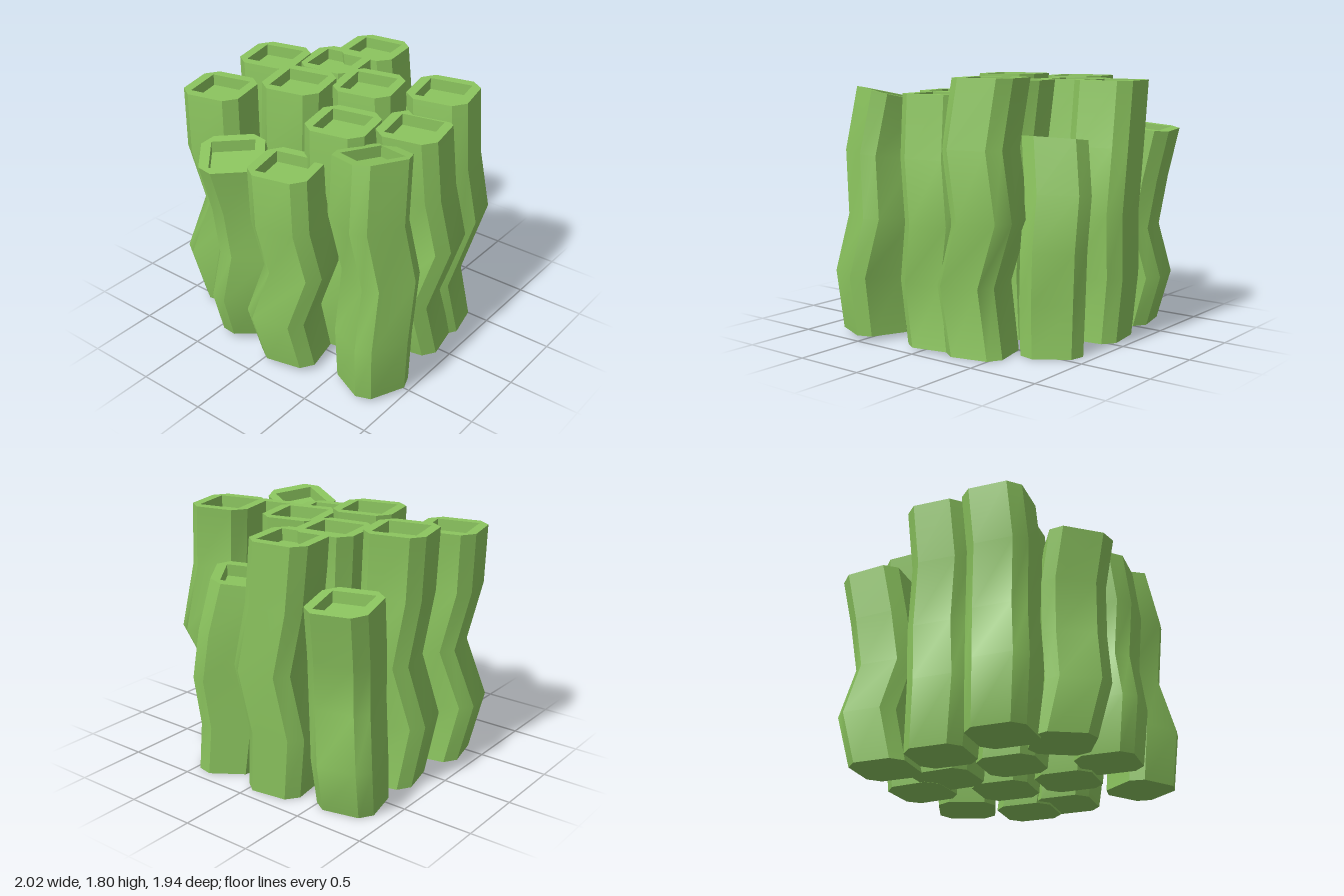
import * as THREE from 'three';

const LEVELS = 4;       // segments along each stalk
const HALF = 0.215;     // half width of a stalk
const CHAMFER = 0.08;   // cut corners
const PIT = 0.148;      // half width of the hollow top
const PIT_DEPTH = 0.08;

// Sideways wander from base to tip, relative to the tip
const WX = [0.05, 0.0, 0.09, 0.04, 0];
const WZ = [0.0, 0.06, -0.03, 0.03, 0];

// Tip position, height, turn in degrees; optional wander and tip slopes
const STALKS = [
  { x: -0.68, z: -0.74, h: 1.43, turn: 13, wx: [0.02, -0.01, 0.06, 0.03, 0], wz: [0.13, 0.05, 0.12, 0.07, 0], sz: 0.1 },
  { x: -0.24, z: -0.73, h: 1.77, turn: 8, wx: [0.1, 0.06, 0.14, 0.05, 0], wz: [0.03, 0.02, -0.02, 0, 0] },
  { x: 0.25, z: -0.61, h: 1.4, turn: 34, wx: [0.12, 0.09, 0.12, 0.06, 0], wz: [-0.07, -0.05, -0.08, -0.07, 0], sx: 0.12 },
  { x: 0.61, z: -0.36, h: 1.8, turn: 13, wx: [0.06, 0.02, 0.09, 0.06, 0], wz: [0.03, 0.14, -0.06, 0.04, 0] },
  { x: 0.65, z: 0.03, h: 1.69, turn: 12, wz: [-0.05, 0.04, -0.09, -0.01, 0] },
  { x: 0.64, z: 0.47, h: 1.67, turn: -24, wx: [0.1, 0.12, 0.09, 0.04, 0], wz: [0.09, 0.12, 0.01, 0.08, 0], sx: 0.16, sz: 0.15 },
  { x: 0.11, z: -0.2, h: 1.77, turn: 13 },
  { x: -0.32, z: -0.38, h: 1.77, turn: 9 },
  { x: -0.7, z: -0.16, h: 1.78, turn: 13 },
  { x: -0.25, z: 0.11, h: 1.8, turn: 13, wx: [0.02, -0.01, 0.03, 0.01, 0] },
  { x: 0.24, z: 0.25, h: 1.69, turn: 12, wx: [0.03, -0.03, 0.04, 0.02, 0] },
  { x: -0.76, z: 0.35, h: 1.7, turn: 13, wx: [0.06, -0.01, 0.11, 0.03, 0] },
  { x: 0.08, z: 0.64, h: 1.48, turn: 13 },
  { x: -0.33, z: 0.71, h: 1.46, turn: 40, wx: [-0.02, 0.0, 0.05, 0.02, 0], wz: [-0.14, -0.05, -0.1, -0.08, 0], sx: -0.05, sz: -0.13 },
];

// Cross-sections, counter-clockwise from above as [right, back]
const I = HALF - CHAMFER;
const OCTAGON = [[HALF, -I], [HALF, I], [I, HALF], [-I, HALF], [-HALF, I], [-HALF, -I], [-I, -HALF], [I, -HALF]];
const SQUARE = [[PIT, -PIT], [PIT, PIT], [-PIT, PIT], [-PIT, -PIT]];

function stalkGeometry({ x, z, h, turn, wx = WX, wz = WZ, sx = 0, sz = 0 }) {
  const pos = [], index = [];
  const c = Math.cos(turn * Math.PI / 180), s = Math.sin(turn * Math.PI / 180);
  const base = Math.max(0, 0.015 + 0.035 * z);

  // Place a cross-section point at a level of the wandering path
  const place = ([u, w], k, drop = 0) => {
    const px = u * c - w * s, pz = -(u * s + w * c);
    const lean = k === LEVELS ? 1 : k === LEVELS - 1 ? 0.5 : 0;
    const size = k === 0 ? 0.95 : 1;
    const y = base + (h - base) * k / LEVELS + lean * (sx * px + sz * pz) - drop;
    return [x + wx[k] + px * size, y, z + wz[k] + pz * size];
  };
  // Flat polygon with its own vertices
  const face = (...pts) => {
    const n = pos.length / 3;
    pts.forEach(p => pos.push(...p));
    for (let i = 1; i < pts.length - 1; i++) index.push(n, n + i, n + i + 1);
  };

  // Sides: one strip per face, smooth along the length
  for (let i = 0; i < 8; i++) {
    const n = pos.length / 3;
    for (let k = 0; k <= LEVELS; k++) {
      pos.push(...place(OCTAGON[i], k), ...place(OCTAGON[(i + 1) % 8], k));
      if (k < LEVELS) {
        const a = n + 2 * k;
        index.push(a, a + 1, a + 3, a, a + 3, a + 2);
      }
    }
  }
  const rim = OCTAGON.map(p => place(p, LEVELS));
  const lip = SQUARE.map(p => place(p, LEVELS));
  const floor = SQUARE.map(p => place(p, LEVELS, PIT_DEPTH));

  // Rim and walls of the hollow
  for (let j = 0; j < 4; j++) {
    const m = (j + 1) % 4;
    face(rim[2 * j], rim[2 * j + 1], lip[m], lip[j]);
    face(rim[2 * j + 1], rim[(2 * j + 2) % 8], lip[m]);
    face(lip[j], lip[m], floor[m], floor[j]);
  }
  face(...floor);
  // Underside
  face(...OCTAGON.map(p => place(p, 0)).reverse());

  const g = new THREE.BufferGeometry();
  g.setAttribute('position', new THREE.Float32BufferAttribute(pos, 3));
  g.setIndex(index);
  g.computeVertexNormals();
  return g;
}

export function createModel() {
  const model = new THREE.Group();
  model.name = 'stalkCluster';
  const green = new THREE.MeshStandardMaterial({ color: 0x8bc45e });
  green.name = 'leafGreen';

  STALKS.forEach((stalk, i) => {
    const mesh = new THREE.Mesh(stalkGeometry(stalk), green);
    mesh.name = `stalk${i + 1}`;
    model.add(mesh);
  });
  return model;
}
